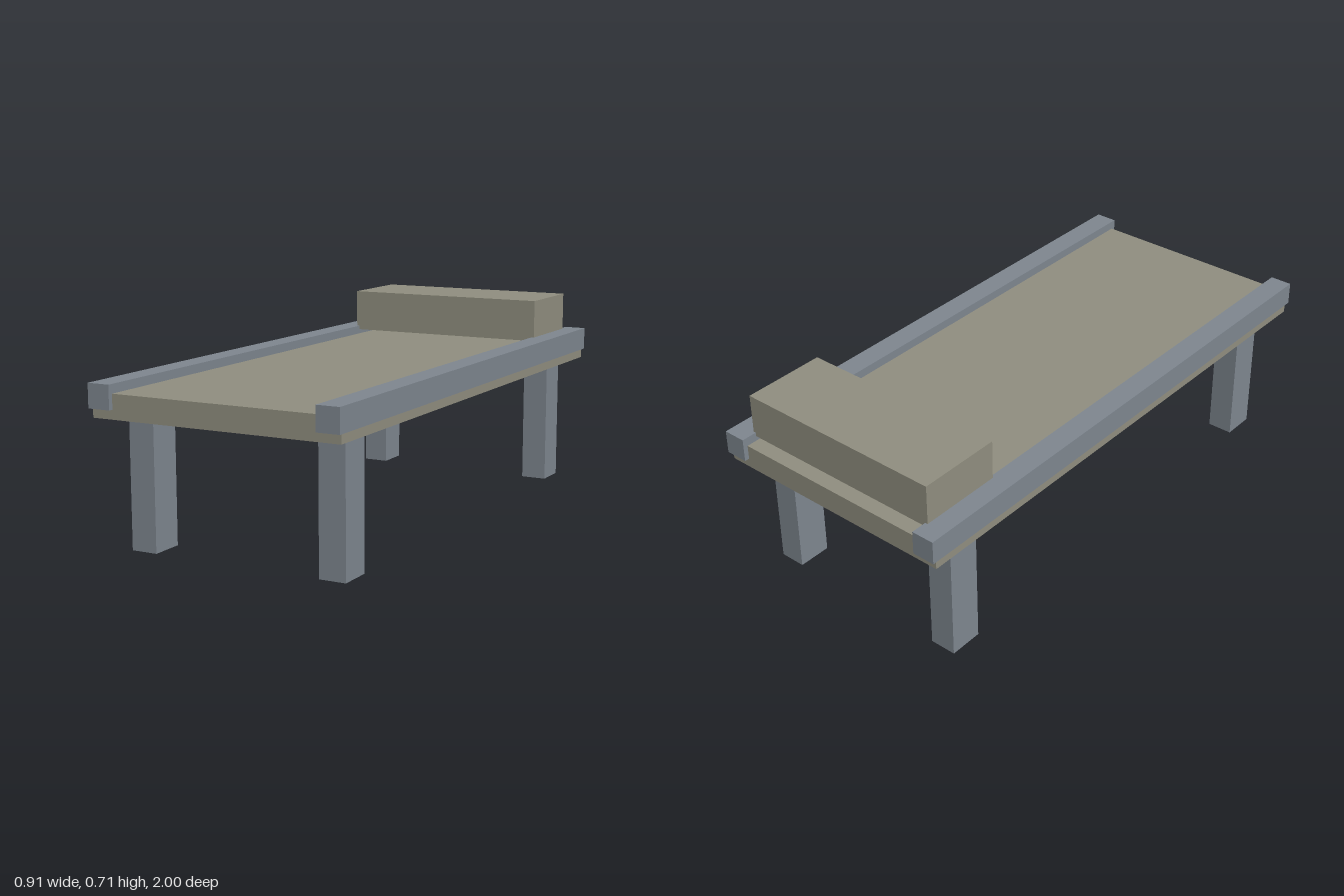
import * as THREE from 'three';

export function createModel() {
  const bed = new THREE.Group();
  bed.name = 'bed';

  const fabric = new THREE.MeshStandardMaterial({ name: 'khaki fabric', color: 0x918f80 });
  const frame = new THREE.MeshStandardMaterial({ name: 'slate grey frame', color: 0x7f8790 });

  // Adds a box given its size and centre
  const box = (name, material, [w, h, d], [x, y, z]) => {
    const mesh = new THREE.Mesh(new THREE.BoxGeometry(w, h, d), material);
    mesh.name = name;
    mesh.position.set(x, y, z);
    bed.add(mesh);
  };

  // Flat mattress slab and the pillow hovering just above its head end
  box('mattress', fabric, [0.896, 0.083, 1.966], [0, 0.4965, 0]);
  box('pillow', fabric, [0.764, 0.153, 0.3], [0, 0.6315, -0.793]);

  // Side rails and the four legs, mirrored left and right
  for (const [side, s] of [['left', 1], ['right', -1]]) {
    box(`${side}Rail`, frame, [0.081, 0.082, 2], [s * 0.4125, 0.528, 0]);
    for (const [end, e] of [['Front', 1], ['Back', -1]]) {
      box(`${side}${end}Leg`, frame, [0.094, 0.456, 0.12], [s * 0.35, 0.228, e * 0.805]);
    }
  }
  return bed;
}
